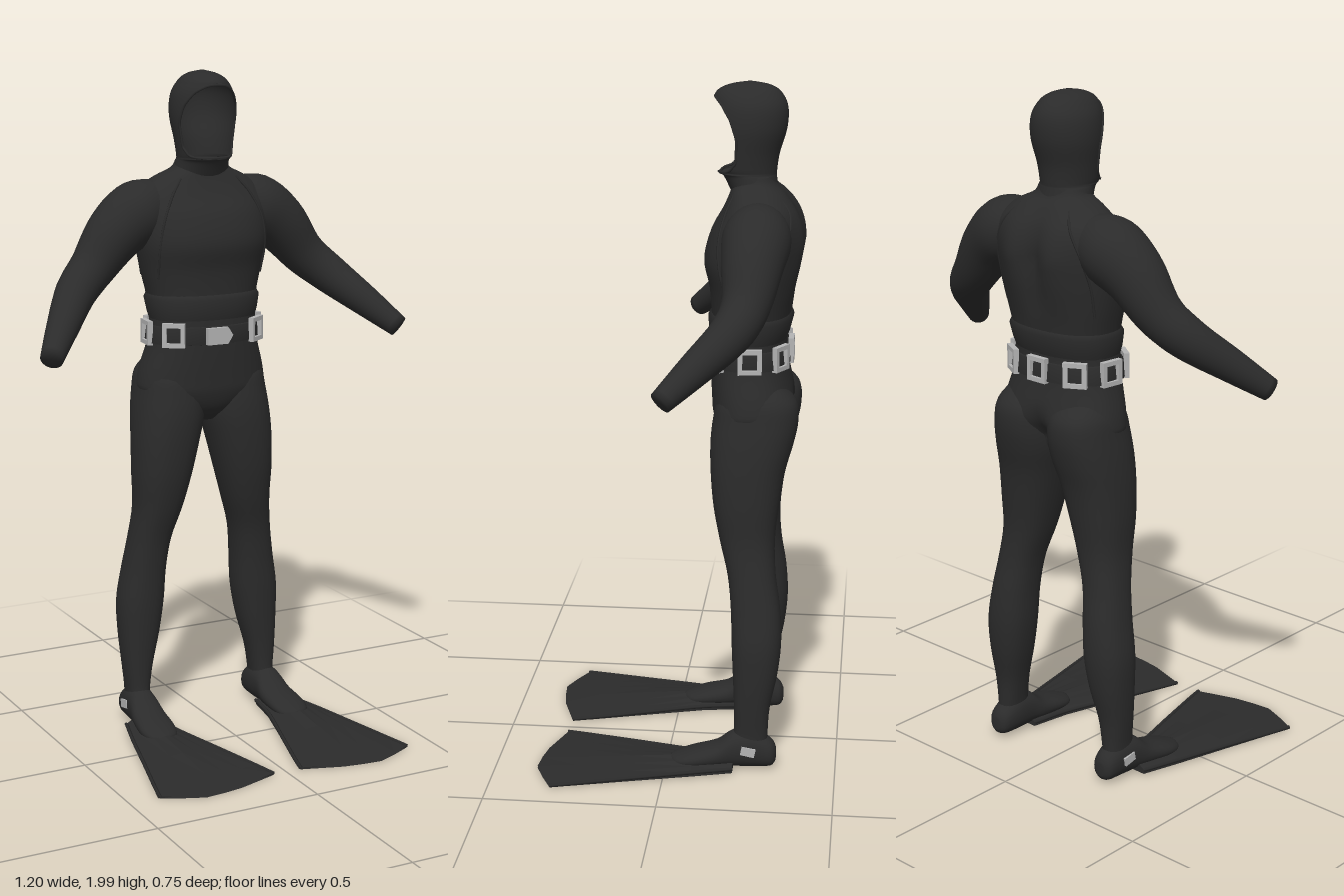
import * as THREE from 'three';
import { mergeVertices } from 'three/addons/utils/BufferGeometryUtils.js';

const V = (x, y, z) => new THREE.Vector3(x, y, z);
const E = 0.86; // below 1 makes the ellipses a little boxier
const pw = v => Math.sign(v) * Math.abs(v) ** E;

// Catmull-Rom resampling of a short table of numbers
function smooth(rows, n) {
  const out = [], last = rows.length - 1;
  for (let i = 0; i < last; i++) for (let k = 0; k < n; k++) {
    const t = k / n, [a, b, c, d] = [-1, 0, 1, 2].map(o => rows[Math.min(last, Math.max(0, i + o))]);
    out.push(b.map((_, j) => 0.5 * (2 * b[j] + (c[j] - a[j]) * t + (2 * a[j] - 5 * b[j] + 4 * c[j] - d[j]) * t * t
      + (3 * b[j] - a[j] - 3 * c[j] + d[j]) * t * t * t)));
  }
  return [...out, rows[last]];
}

// Skin over rings of points; capped rings close onto their centres
function loft(rings, cap = true, flat = false) {
  if (cap) {
    const mid = r => { const c = V(0, 0, 0); r.forEach(p => c.addScaledVector(p, 1 / r.length)); return r.map(() => c); };
    rings = [mid(rings[0]), ...rings, mid(rings[rings.length - 1])];
  }
  const n = rings[0].length, idx = [];
  for (let i = 0; i < rings.length - 1; i++) for (let j = 0; j < n - 1; j++) {
    const a = i * n + j, c = a + n;
    idx.push(a, c, a + 1, a + 1, c, c + 1);
  }
  let g = new THREE.BufferGeometry().setFromPoints(rings.flat());
  g.setIndex(idx);
  g = flat ? g.toNonIndexed() : mergeVertices(g, 1e-5);
  g.computeVertexNormals();
  return g;
}

// Horizontal ring from [y, inner x, outer x, front z, back z]
function ring([y, x0, x1, f, b], n = 40, grow = 0) {
  return Array.from({ length: n + 1 }, (_, j) => {
    const t = (j % n) / n * Math.PI * 2;
    return V((x0 + x1) / 2 + ((x1 - x0) / 2 + grow) * pw(Math.cos(t)), y, (f + b) / 2 + ((f - b) / 2 + grow) * pw(Math.sin(t)));
  });
}

// [y, half width, front z, back z]
const torsoRows = [[0.96, 0.04, -0.18, -0.28], [1, 0.12, -0.14, -0.32], [1.05, 0.195, -0.12, -0.345], [1.1, 0.2, -0.115, -0.355],
  [1.2, 0.172, -0.11, -0.335], [1.27, 0.165, -0.11, -0.33], [1.33, 0.168, -0.112, -0.338], [1.42, 0.188, -0.106, -0.352],
  [1.5, 0.203, -0.09, -0.365], [1.58, 0.208, -0.108, -0.37], [1.64, 0.2, -0.14, -0.355], [1.685, 0.15, -0.16, -0.325],
  [1.715, 0.09, -0.168, -0.297], [1.74, 0.075, -0.17, -0.285]];
const torso = smooth(torsoRows, 5);
const torsoAt = y => torso.reduce((p, r) => Math.abs(r[0] - y) < Math.abs(p[0] - y) ? r : p);
const torsoRing = (y, n, grow) => { const [, w, f, b] = torsoAt(y); return ring([y, -w, w, f, b], n, grow); };

// [y, inner x, outer x, front z, back z]
const legRows = [[0.07, 0.185, 0.25, -0.19, -0.3], [0.12, 0.18, 0.25, -0.2, -0.3], [0.2, 0.167, 0.258, -0.2, -0.305],
  [0.3, 0.142, 0.265, -0.195, -0.325], [0.4, 0.126, 0.266, -0.19, -0.335], [0.5, 0.12, 0.25, -0.186, -0.33],
  [0.6, 0.107, 0.234, -0.175, -0.315], [0.7, 0.077, 0.222, -0.15, -0.31], [0.8, 0.05, 0.224, -0.13, -0.32],
  [0.9, 0.025, 0.222, -0.12, -0.335], [0.98, 0.006, 0.216, -0.118, -0.357], [1.05, 0.004, 0.206, -0.125, -0.37],
  [1.11, 0.015, 0.194, -0.14, -0.362], [1.16, 0.05, 0.16, -0.19, -0.31]];

// [x, y, z, radius]
const armRows = [[0.11, 1.61, -0.25, 0.07], [0.19, 1.59, -0.25, 0.096], [0.27, 1.535, -0.243, 0.087], [0.35, 1.44, -0.232, 0.068],
  [0.42, 1.375, -0.195, 0.06], [0.5, 1.295, -0.105, 0.047], [0.57, 1.222, -0.022, 0.033]];

// [z, centre x, half width, top y, bottom y]
const footRows = [[-0.325, 0.215, 0.015, 0.075, 0.035], [-0.31, 0.215, 0.035, 0.1, 0.018], [-0.26, 0.215, 0.043, 0.13, 0.014],
  [-0.2, 0.218, 0.046, 0.125, 0.014], [-0.15, 0.22, 0.053, 0.088, 0.018], [-0.08, 0.225, 0.056, 0.066, 0.015],
  [-0.035, 0.225, 0.043, 0.05, 0.015], [-0.015, 0.225, 0.015, 0.042, 0.02]];

// [z, inner x, outer x, edge y, extra height at the middle]
const finRows = [[-0.2, 0.175, 0.275, 0.026, 0.03], [-0.08, 0.155, 0.31, 0.026, 0.022], [0.1, 0.105, 0.355, 0.021, 0.012],
  [0.25, 0.063, 0.393, 0.016, 0.004], [0.32, 0.045, 0.41, 0.014, 0]];
const tip = [0, 0.02, 0.04, 0.05, 0.055, 0.03, 0];

// Hood: [y, half width, front z, back z] and face opening: [y, z]
const hoodRows = [[1.69, 0.088, -0.165, -0.3], [1.735, 0.08, -0.142, -0.293], [1.75, 0.079, -0.122, -0.293], [1.8, 0.086, -0.115, -0.3],
  [1.87, 0.096, -0.11, -0.32], [1.93, 0.09, -0.11, -0.322], [1.97, 0.067, -0.12, -0.303], [1.99, 0.04, -0.155, -0.272], [2, 0.004, -0.21, -0.22]];
const opening = [[1.745, -0.12], [1.755, -0.162], [1.78, -0.182], [1.85, -0.183], [1.9, -0.166], [1.94, -0.14], [1.966, -0.112]];

function rimZ(y) {
  const i = opening.findIndex(p => p[0] >= y);
  if (i < 1) return 0;
  const [a, b] = [opening[i - 1], opening[i]];
  return a[1] + (b[1] - a[1]) * (y - a[0]) / (b[0] - a[0]);
}

export function createModel() {
  const model = new THREE.Group();
  const mat = (name, color, side) => new THREE.MeshStandardMaterial({ name, color, side });
  const suit = mat('black neoprene', 0x2b2b2b, THREE.DoubleSide);
  const metal = mat('light metal', 0xb4b4b4);
  const add = (name, geo, m = suit, parent = model) => {
    const o = new THREE.Mesh(geo, m);
    o.name = name;
    parent.add(o);
    return o;
  };
  const tube = (pts, r, closed = false) => new THREE.TubeGeometry(new THREE.CatmullRomCurve3(pts, closed), 60, r, 5, closed);

  // Torso with a groove down the back and a flatter belly
  const torsoRings = torso.map(([y, w, f, b]) => ring([y, -w, w, f, b], 64));
  torsoRings.flat().forEach(p => {
    if (p.z > -0.25) return;
    const blades = Math.max(0, 1 - Math.abs(p.y - 1.55) / 0.17), seat = Math.max(0, 1 - Math.abs(p.y - 1.03) / 0.1);
    p.z += (0.02 * blades + 0.04 * seat) * Math.exp(-((p.x / 0.03) ** 2)) - 0.012 * blades * Math.exp(-(((Math.abs(p.x) - 0.08) / 0.04) ** 2));
  });
  add('torso', loft(torsoRings));
  add('vestHem', loft([[1.275, 0], [1.295, 0.006], [1.335, 0.01], [1.35, 0]].map(([y, g]) => torsoRing(y, 48, g)), false));

  // Hood, open at the face, with a rolled rim
  const left = [], right = [];
  const hoodRings = smooth(hoodRows, 6).map(([y, w, f, b]) => {
    const zc = (f + b) / 2, d = (f - b) / 2, c = (rimZ(y) - zc) / d;
    const a = c < 1 ? Math.acos(c) : 0, n = 40;
    const r = Array.from({ length: n + 1 }, (_, j) => {
      const t = a + (2 * Math.PI - 2 * a) * j / n;
      return V(-w * Math.sin(t), y, zc + d * Math.cos(t));
    });
    if (a > 0) { left.push(r[0]); right.unshift(r[n]); }
    return r;
  });
  add('hood', loft(hoodRings, false));
  add('hoodRim', tube([...left, ...right], 0.004, true));

  // Belt with a front buckle and square weight keepers
  add('belt', loft([[1.203, 0], [1.205, 0.008], [1.255, 0.008], [1.257, 0]].map(([y, g]) => torsoRing(y, 48, g)), false));
  const [, bw, bf, bb] = torsoAt(1.23);
  const square = (w, h, C) => new C([[-w, -h], [w, -h], [w, h], [-w, h]].map(p => new THREE.Vector2(...p)));
  const frame = square(0.034, 0.036, THREE.Shape);
  frame.holes.push(square(0.021, 0.023, THREE.Path));
  const keeper = new THREE.ExtrudeGeometry(frame, { depth: 0.016, bevelEnabled: false });
  for (const deg of [42, -4, -50, -90, -130, 184, 138]) {
    const t = deg * Math.PI / 180, c = Math.cos(t), s = Math.sin(t);
    const o = add('beltKeeper', keeper, metal);
    o.position.set((bw + 0.003) * pw(c), 1.235, (bf + bb) / 2 + ((bf - bb) / 2 + 0.003) * pw(s));
    o.rotation.y = Math.atan2(c / bw, s / ((bf - bb) / 2));
  }
  const plate = new THREE.Shape([[-0.045, -0.025], [0.022, -0.025], [0.038, 0], [0.022, 0.025], [-0.045, 0.025]].map(p => new THREE.Vector2(...p)));
  add('beltBuckle', new THREE.ExtrudeGeometry(plate, { depth: 0.02, bevelEnabled: false }), metal).position.set(0, 1.23, bf);

  // Limbs, fins and seams, mirrored to both sides
  for (const s of [1, -1]) {
    const side = new THREE.Group();
    side.name = s > 0 ? 'leftSide' : 'rightSide';
    side.scale.x = s;
    model.add(side);
    add('leg', loft(smooth(legRows, 4).map(r => ring(r, 28))), suit, side);

    // Arm rings stand square to the arm's path
    const arm = smooth(armRows, 5);
    add('arm', loft(arm.map(([x, y, z, r], i) => {
      const p = arm[Math.max(0, i - 1)], q = arm[Math.min(arm.length - 1, i + 1)];
      const T = V(q[0] - p[0], q[1] - p[1], q[2] - p[2]).normalize();
      const u = V(0, 1, 0).cross(T).normalize(), v = u.clone().cross(T);
      return Array.from({ length: 25 }, (_, j) => {
        const t = (j % 24) / 24 * Math.PI * 2;
        return V(x, y, z).addScaledVector(u, r * Math.cos(t)).addScaledVector(v, r * Math.sin(t));
      });
    })), suit, side);

    add('footPocket', loft(smooth(footRows, 4).map(([z, x, w, top, bot]) => Array.from({ length: 25 }, (_, j) => {
      const t = (j % 24) / 24 * Math.PI * 2;
      return V(x + w * Math.cos(t), (top + bot) / 2 - (top - bot) / 2 * pw(Math.sin(t)), z);
    }))), suit, side);

    // Flat fin blade with a ridged top and a wavy tip
    add('finBlade', loft(finRows.map(([z, a, b, y, up], i) => {
      const pt = (k, top) => V(a + (b - a) * k / 6, top ? y + up * (1 - Math.abs(k - 3) / 3) : 0.008 + (y - 0.014) * 0.4,
        z + (i === finRows.length - 1 ? tip[k] : 0));
      const ks = [0, 1, 2, 3, 4, 5, 6];
      return [...[...ks].reverse().map(k => pt(k, false)), ...ks.map(k => pt(k, true)), pt(6, false)];
    }), true, true), suit, side);
    for (const e of [1, 2])
      add('finRail', tube(finRows.map(r => V(r[e], r[3], r[0])), 0.006), suit, side);

    const clip = add('heelClip', new THREE.BoxGeometry(0.008, 0.026, 0.042), metal, side);
    clip.position.set(0.259, 0.075, -0.245);
    clip.rotation.x = -0.2;

    // Raglan seams, front and back
    for (const back of [0, 1]) {
      const pts = [[0.09, 1.69], [0.125, 1.645], [0.16, 1.57], [0.172, 1.49], [0.168, 1.4]].map(([x, y]) => {
        const [, w, f, b] = torsoAt(y), d = (f - b) / 2 * (1 - Math.min(1, x / w) ** (2 / E)) ** (E / 2);
        return V(x, y, (f + b) / 2 + (back ? -d : d));
      });
      add('seam', tube(pts, 0.004), suit, side);
    }
  }
  return model;
}
